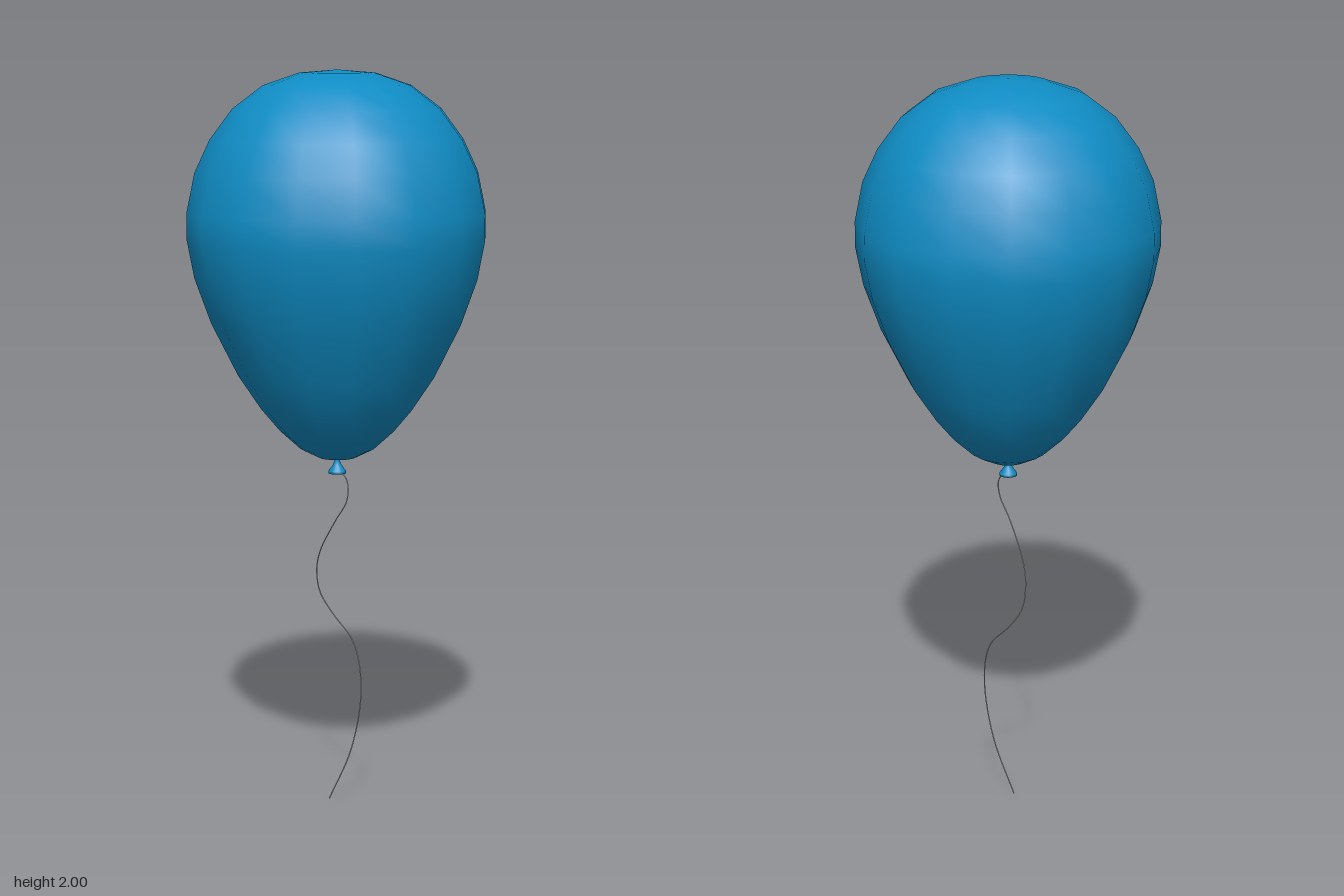
import * as THREE from 'three';

const SIDES = 16;

function lathe(name, profile, material) {
  const points = profile.map(([r, y]) => new THREE.Vector2(r, y));
  const mesh = new THREE.Mesh(new THREE.LatheGeometry(points, SIDES), material);
  mesh.name = name;
  return mesh;
}

export function createModel() {
  const group = new THREE.Group();
  group.name = 'balloon';
  const rubber = new THREE.MeshStandardMaterial({ color: 0x0f8cc4, side: THREE.DoubleSide });
  const thread = new THREE.MeshStandardMaterial({ color: 0xcccccc });

  // Inflated teardrop body, bottom to top
  group.add(lathe('body', [
    [0, 0.97], [0.05, 0.975], [0.1, 1.0], [0.155, 1.05], [0.205, 1.11],
    [0.265, 1.2], [0.335, 1.34], [0.378, 1.46], [0.397, 1.56], [0.397, 1.63],
    [0.375, 1.735], [0.335, 1.82], [0.275, 1.9], [0.195, 1.96], [0.1, 1.992], [0, 2.0],
  ], rubber));

  // Tied neck flaring into a small lip
  group.add(lathe('knot', [
    [0, 0.945], [0.016, 0.931], [0.024, 0.931], [0.023, 0.938], [0.012, 0.953], [0.007, 0.965], [0.009, 0.975],
  ], rubber));

  // Loose string hanging from the knot
  const path = new THREE.CatmullRomCurve3([
    [0, 0.95, 0], [0.025, 0.91, 0.02], [0.022, 0.86, 0.03], [-0.005, 0.8, 0],
    [-0.04, 0.7, -0.065], [-0.045, 0.64, -0.092], [-0.035, 0.58, -0.098],
    [0, 0.52, -0.08], [0.045, 0.46, -0.042], [0.062, 0.4, -0.018],
    [0.065, 0.3, -0.002], [0.04, 0.15, -0.018], [-0.015, 0.001, -0.055],
  ].map((p) => new THREE.Vector3(...p)));
  const string = new THREE.Mesh(new THREE.TubeGeometry(path, 72, 0.0017, 6), thread);
  string.name = 'string';
  group.add(string);

  return group;
}
